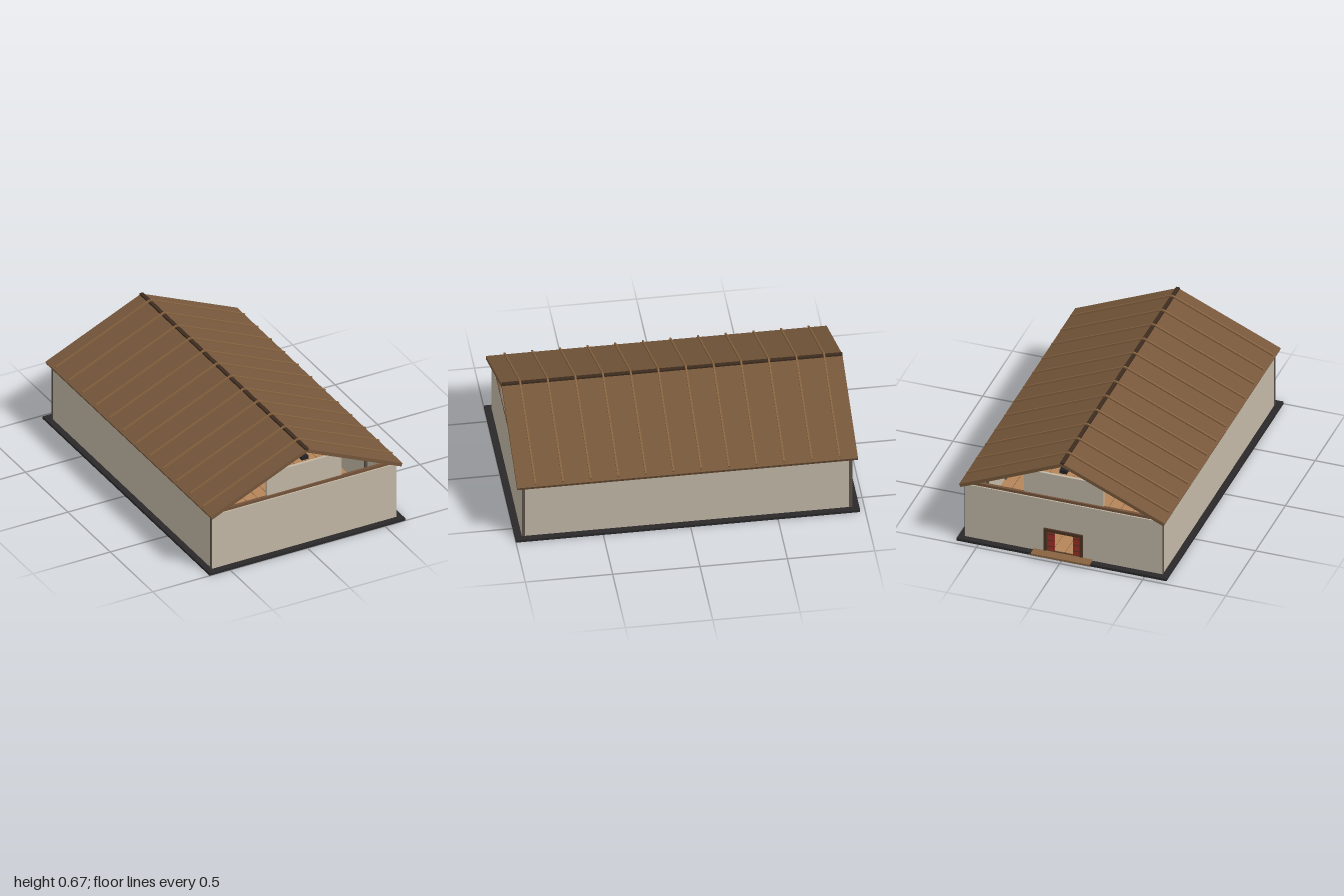
import * as THREE from 'three';

const MID = 0.015; // centre of the hall along z
const mat = (color) => new THREE.MeshStandardMaterial({ color });
const M = {
  stone: mat(0x2a2829), wall: mat(0xc2b8a6), post: mat(0x5a5148), timber: mat(0x74533a),
  roof: mat(0x76573b), batten: mat(0x876340), ridge: mat(0x3d2b1e), floor: mat(0xb5855a),
  dark: mat(0x222226), red: mat(0x9c2f24), frame: mat(0x4a3323),
};

export function createModel() {
  const root = new THREE.Group();
  root.name = 'hall';

  const box = (name, w, h, d, x, y, z, material, parent = root) => {
    const m = new THREE.Mesh(new THREE.BoxGeometry(w, h, d), material);
    m.name = name;
    m.position.set(x, y, z);
    parent.add(m);
    return m;
  };
  const group = (name) => {
    const g = new THREE.Group();
    g.name = name;
    root.add(g);
    return g;
  };
  // sloped bar from (0, y0) at the ridge down to (side * x1, y1) at the eave
  const slope = (name, side, x1, y0, y1, thick, depth, z, material, parent) => {
    const m = box(name, Math.hypot(x1, y0 - y1), thick, depth,
      side * x1 / 2, (y0 + y1) / 2, z, material, parent);
    m.rotation.z = -side * Math.atan2(y0 - y1, x1);
    return m;
  };

  // Foundation slab and plank floor
  box('foundation', 1.264, 0.015, 1.97, 0, 0.0075, MID, M.stone);
  const floor = group('floorPlanks');
  const planks = 16, pw = 1.16 / planks;
  for (let i = 0; i < planks; i++)
    box('plank', pw - 0.004, 0.006, 1.85, -0.58 + pw * (i + 0.5), 0.018, MID, M.floor, floor);

  // Walls: closed sides and front, doorway in the back
  const walls = group('walls');
  const H = 0.35, WY = 0.015 + H / 2;
  const frontZ = 0.953, backZ = -0.923;
  for (const s of [-1, 1]) {
    box('sideWall', 0.015, H, 1.88, s * 0.588, WY, MID, M.wall, walls);
    box('backWall', 0.49, H, 0.016, s * 0.35, WY, backZ, M.wall, walls);
    for (const z of [frontZ - 0.002, backZ + 0.002])
      box('cornerPost', 0.018, H, 0.018, s * 0.588, WY, z, M.post, walls);
    for (let i = 1; i < 6; i++)
      box('innerPost', 0.016, H, 0.016, s * 0.575, WY, MID - 0.94 + i * 0.313, M.post, walls);
  }
  box('frontWall', 1.19, H, 0.016, 0, WY, frontZ, M.wall, walls);
  box('wallOverDoor', 0.21, 0.2, 0.016, 0, 0.265, backZ, M.wall, walls);

  // Gable ends: tie beam, panel and small dark block under the ridge
  for (const z of [frontZ, backZ]) {
    box('tieBeam', 1.17, 0.017, 0.018, 0, 0.38, z, M.timber);
    box('gablePanel', 0.48, 0.148, 0.016, 0, 0.469, z, M.wall);
    box('gableBlock', 0.044, 0.02, 0.04, 0, 0.581, z, M.dark);
  }

  // Roof slopes with raised battens and ridge beam
  const roof = group('roof');
  for (const s of [-1, 1]) {
    slope('roofSlope', s, 0.615, 0.638, 0.368, 0.021, 1.95, MID, M.roof, roof);
    for (let i = 0; i < 12; i++)
      slope('batten', s, 0.61, 0.661, 0.392, 0.01, 0.01, 0.885 - i * 0.1582, M.batten, roof);
  }
  box('ridgeBeam', 0.022, 0.02, 1.95, 0, 0.645, MID, M.ridge, roof);

  // Back entrance: frame, parted sliding doors and step
  const door = group('entrance');
  const dz = backZ - 0.01;
  for (const s of [-1, 1]) {
    box('doorJamb', 0.018, 0.16, 0.02, s * 0.108, 0.095, dz, M.frame, door);
    box('slidingDoor', 0.042, 0.14, 0.008, s * 0.077, 0.092, backZ, M.red, door);
    for (const y of [0.055, 0.095, 0.135])
      box('doorRail', 0.042, 0.005, 0.012, s * 0.077, y, backZ, M.frame, door);
  }
  box('doorLintel', 0.234, 0.018, 0.02, 0, 0.167, dz, M.frame, door);
  box('threshold', 0.234, 0.01, 0.02, 0, 0.022, dz, M.frame, door);
  box('step', 0.352, 0.012, 0.06, 0, 0.024, -0.97, M.batten, door);

  return root;
}
